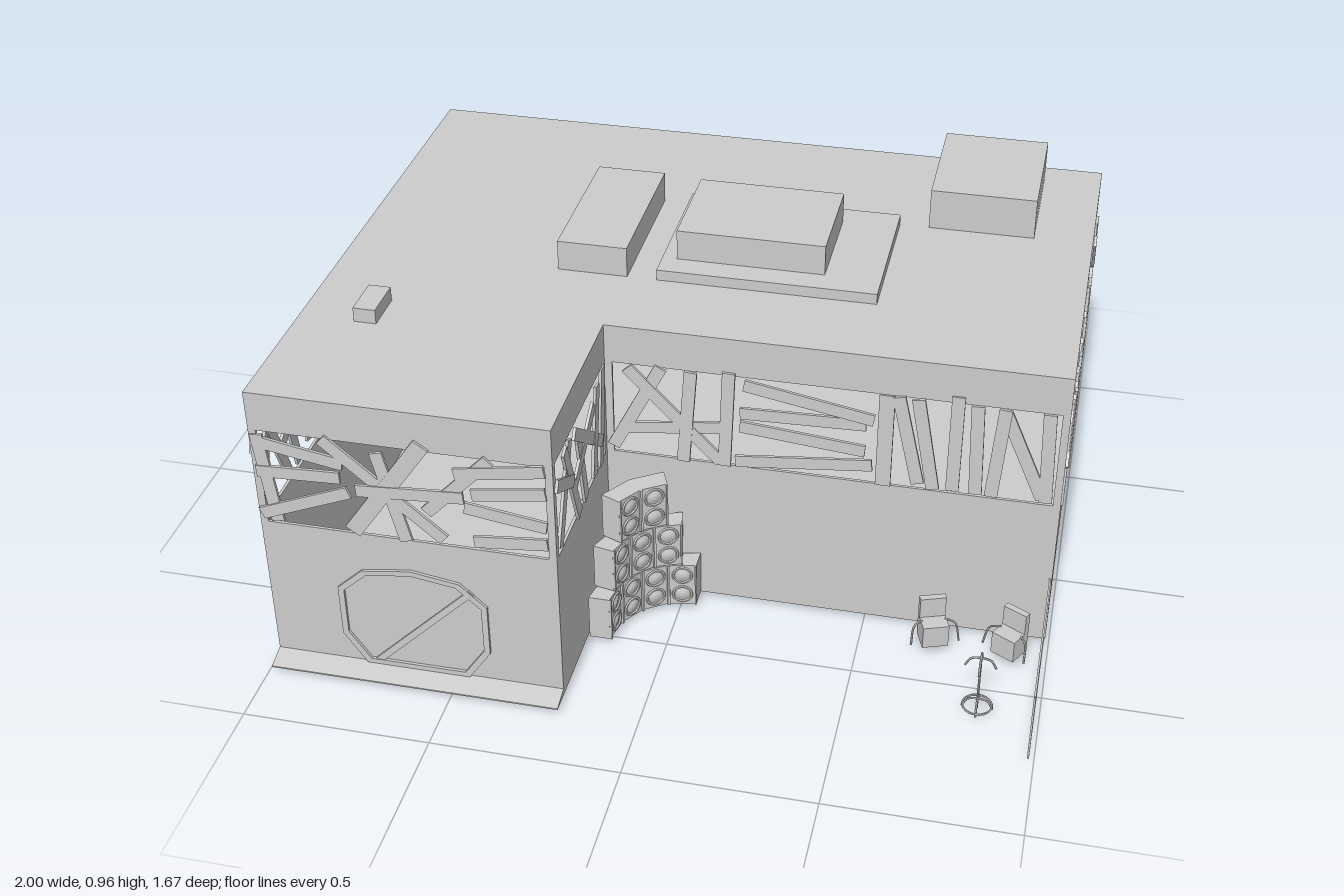
import * as THREE from 'three';

const mat = new THREE.MeshStandardMaterial({ color: 0xcccccc, flatShading: true, side: THREE.DoubleSide });
const FLOOR = 0.02, TOP = 0.85, SILL = 0.46, HEAD = 0.74, T = 0.008;

function mesh(geo, name, parent) {
  const m = new THREE.Mesh(geo, mat);
  m.name = name;
  parent.add(m);
  return m;
}

// Box given by its min and max along each axis
function block(parent, name, x0, x1, y0, y1, z0, z1) {
  const m = mesh(new THREE.BoxGeometry(x1 - x0, y1 - y0, z1 - z0), name, parent);
  m.position.set((x0 + x1) / 2, (y0 + y1) / 2, (z0 + z1) / 2);
  return m;
}

// Flat bar between two points of a local xy plane
function bar(parent, name, [x0, y0, x1, y1], width, depth, z) {
  const m = mesh(new THREE.BoxGeometry(Math.hypot(x1 - x0, y1 - y0), width, depth), name, parent);
  m.position.set((x0 + x1) / 2, (y0 + y1) / 2, z);
  m.rotation.z = Math.atan2(y1 - y0, x1 - x0);
  return m;
}

function polygon(points) {
  return new THREE.Shape(points.map(([x, y]) => new THREE.Vector2(x, y)));
}

function extrude(shape, depth) {
  return new THREE.ExtrudeGeometry(shape, { depth, bevelEnabled: false });
}

const rect = (x0, x1, y0, y1) => [[x0, y0], [x1, y0], [x1, y1], [x0, y1]];

// Wall with a long window opening, crossed by loose planks
function windowWall(parent, name, u0, u1, planks, place) {
  const g = new THREE.Group();
  g.name = name;
  const shape = polygon(rect(u0, u1, FLOOR, TOP));
  shape.holes.push(polygon(rect(u0 + 0.02, u1 - 0.02, SILL, HEAD)));
  mesh(extrude(shape, T), 'wallPanel', g).position.z = -T;
  planks.forEach((p, i) => bar(g, 'windowPlank', p, p[4] ?? 0.034, 0.008, 0.001 + 0.002 * (i % 3)));
  place(g);
  parent.add(g);
}

// Plank lines: u0, v0, u1, v1, optional width
const wingFront = [
  [-0.98, 0.71, -0.75, 0.67], [-0.98, 0.62, -0.76, 0.63], [-0.98, 0.49, -0.74, 0.59],
  [-0.8, 0.74, -0.5, 0.48], [-0.74, 0.47, -0.54, 0.76, 0.045], [-0.72, 0.6, -0.44, 0.62], [-0.66, 0.72, -0.6, 0.46],
  [-0.54, 0.56, -0.37, 0.74], [-0.46, 0.69, -0.23, 0.73], [-0.42, 0.63, -0.23, 0.66],
  [-0.44, 0.59, -0.23, 0.56], [-0.42, 0.49, -0.23, 0.51], [-0.97, 0.73, -0.94, 0.47],
];
const mainFront = [
  [-0.19, 0.48, -0.06, 0.74], [-0.15, 0.73, 0.1, 0.47], [0, 0.46, 0.02, 0.74], [-0.17, 0.54, 0.12, 0.58],
  [0.11, 0.46, 0.12, 0.75], [0.16, 0.72, 0.5, 0.66], [0.15, 0.63, 0.48, 0.64], [0.15, 0.59, 0.48, 0.56],
  [0.14, 0.48, 0.5, 0.52], [0.53, 0.46, 0.53, 0.74, 0.04], [0.56, 0.74, 0.62, 0.48], [0.66, 0.47, 0.61, 0.74],
  [0.71, 0.47, 0.71, 0.76], [0.77, 0.47, 0.76, 0.74], [0.83, 0.74, 0.81, 0.47],
  [0.83, 0.73, 0.94, 0.48], [0.95, 0.47, 0.94, 0.74],
];
const mainSide = [
  [0.21, 0.74, 0.26, 0.46], [0.26, 0.57, 0.12, 0.74], [0.14, 0.74, 0.08, 0.46], [0.25, 0.72, 0.1, 0.62],
  [0.05, 0.46, 0.06, 0.74], [-0.02, 0.74, 0.02, 0.46], [-0.05, 0.74, -0.12, 0.46], [-0.08, 0.61, -0.24, 0.73],
  [-0.19, 0.74, -0.16, 0.46], [-0.22, 0.71, -0.28, 0.46], [-0.35, 0.74, -0.32, 0.46], [-0.4, 0.74, -0.47, 0.46],
  [-0.43, 0.7, -0.63, 0.53], [-0.57, 0.45, -0.69, 0.62], [-0.63, 0.74, -0.71, 0.63], [-0.74, 0.74, -0.71, 0.46],
  [-0.76, 0.74, -0.82, 0.46],
];
const wingSide = [
  [0.74, 0.48, 0.63, 0.73], [0.68, 0.73, 0.57, 0.46], [0.76, 0.68, 0.62, 0.6], [0.5, 0.46, 0.55, 0.68],
  [0.59, 0.72, 0.34, 0.53], [0.43, 0.48, 0.38, 0.73], [0.31, 0.74, 0.35, 0.46], [0.6, 0.57, 0.41, 0.69],
];

function addBuilding(root) {
  const flipU = list => list.map(([a, b, c, d, w]) => [-a, b, -c, d, w]);
  windowWall(root, 'wingFrontWall', -0.99, -0.21, wingFront, g => { g.position.z = 0.77; });
  windowWall(root, 'mainFrontWall', -0.21, 0.99, mainFront, g => { g.position.z = 0.28; });
  windowWall(root, 'leftSideWall', -0.28, 0.84, flipU(mainSide), g => { g.position.x = 0.99; g.rotation.y = Math.PI / 2; });
  windowWall(root, 'wingInnerWall', -0.77, -0.28, flipU(wingSide), g => { g.position.x = -0.21; g.rotation.y = Math.PI / 2; });
  windowWall(root, 'rightSideWall', -0.84, 0.77, [...mainSide, ...wingSide], g => { g.position.x = -0.99; g.rotation.y = -Math.PI / 2; });
  block(root, 'backWall', -0.99, 0.99, FLOOR, TOP, -0.84, -0.84 + T);

  // L-shaped floor and roof
  const plan = polygon([[-0.99, -0.84], [0.99, -0.84], [0.99, 0.28], [-0.21, 0.28], [-0.21, 0.77], [-0.99, 0.77]]);
  [['floor', FLOOR + T], ['roof', TOP]].forEach(([name, y]) => {
    const m = mesh(extrude(plan, T), name, root);
    m.rotation.x = Math.PI / 2;
    m.position.y = y;
  });

  // Rooftop units
  block(root, 'roofUnitLarge', 0.54, 0.83, TOP, 0.965, -0.77, -0.41);
  block(root, 'roofPlinth', -0.13, 0.46, TOP, 0.88, -0.41, 0.03);
  block(root, 'roofUnitMiddle', -0.09, 0.31, 0.88, 0.965, -0.34, -0.04);
  block(root, 'roofUnitLong', -0.4, -0.21, TOP, 0.935, -0.41, 0.03);
  block(root, 'roofVent', -0.84, -0.78, TOP, 0.89, 0.28, 0.4);

  // Hatches under the floor
  block(root, 'floorHatch', -0.19, -0.02, 0.004, FLOOR, -0.14, 0.13);
  block(root, 'floorHatch', -0.96, -0.81, 0.006, FLOOR, -0.56, -0.22);

  // Sloping step along the wing front
  const ramp = mesh(extrude(polygon([[0, FLOOR], [0.06, FLOOR], [0.06, 0.024], [0, 0.04]]), 0.78), 'frontRamp', root);
  ramp.rotation.y = -Math.PI / 2;
  ramp.position.set(-0.21, 0, 0.77);
  ramp.scale.z = 1;
}

// Many-sided door frame with a diagonal brace
function addDoor(root) {
  const g = new THREE.Group();
  g.name = 'frontDoor';
  const half = [[0, 0.365], [0.13, 0.345], [0.2, 0.28], [0.2, 0.13], [0.14, 0.04]];
  const outline = [...half, ...half.slice(1).reverse().map(([x, y]) => [-x, y])];
  const frame = polygon(outline);
  frame.holes.push(polygon(outline.map(([x, y]) => [x * 0.92, 0.2 + (y - 0.2) * 0.91])));
  mesh(extrude(frame, 0.008), 'doorFrame', g);
  bar(g, 'doorBrace', [-0.11, 0.05, 0.16, 0.32], 0.018, 0.006, 0.003);
  g.position.set(-0.6, 0, 0.77);
  root.add(g);
}

// Curved stack of speaker cabinets filling the inner corner: rows of 4, 3 and 2
function addSpeakers(root) {
  const stack = new THREE.Group();
  stack.name = 'speakerStack';
  const step = Math.PI / 8, inner = 0.19, outer = 0.245, h = 0.136;
  const hi = inner * Math.tan(step / 2), ho = outer * Math.tan(step / 2);
  const cabinet = extrude(polygon([[-hi, inner], [hi, inner], [ho, outer], [-ho, outer]]), h - 0.003);
  cabinet.rotateX(-Math.PI / 2);
  [4, 3, 2].forEach((count, row) => {
    for (let i = 0; i < count; i++) {
      const g = new THREE.Group();
      g.name = 'speaker';
      mesh(cabinet, 'speakerCabinet', g);
      [0.036, 0.1].forEach(y => {
        mesh(new THREE.TorusGeometry(0.025, 0.004, 6, 20), 'speakerRim', g).position.set(0, y, -inner + 0.002);
        const cone = mesh(new THREE.CylinderGeometry(0.006, 0.024, 0.006, 16), 'speakerCone', g);
        cone.rotation.x = Math.PI / 2;
        cone.position.set(0, y, -inner + 0.002);
      });
      [-1, 1].forEach(s => block(g, 'cabinetEdge', s * hi * 0.94 - 0.002, s * hi * 0.94 + 0.002, 0, h - 0.003, -inner, -inner + 0.006));
      g.position.y = FLOOR + row * h;
      g.rotation.y = Math.PI / 4 + (i - (count - 1) / 2) * step;
      stack.add(g);
    }
  });
  stack.position.set(0.045, 0, 0.53);
  root.add(stack);
}

function tube(parent, name, points, r = 0.003) {
  const curve = new THREE.CatmullRomCurve3(points.map(p => new THREE.Vector3(...p)));
  mesh(new THREE.TubeGeometry(curve, 10, r, 6), name, parent);
}

function addYard(root) {
  // Boxy seats with thin bent arms
  [[0.695, 0.36, 0.35], [0.9, 0.365, -0.5]].forEach(([x, z, yaw]) => {
    const g = new THREE.Group();
    g.name = 'yardSeat';
    block(g, 'seatBack', -0.035, 0.035, 0.035, 0.16, -0.03, -0.012);
    block(g, 'seatBase', -0.035, 0.035, 0.035, 0.1, -0.03, 0.035);
    [-1, 1].forEach(s => tube(g, 'seatArm', [[s * 0.03, 0.1, 0], [s * 0.055, 0.095, 0.015], [s * 0.065, 0.045, 0.03]]));
    g.position.set(x, 0, z);
    g.rotation.y = yaw;
    root.add(g);
  });

  // Slim stand with drooping arms, curved feet and a foot ring
  const stand = new THREE.Group();
  stand.name = 'stand';
  const pole = mesh(new THREE.CylinderGeometry(0.003, 0.003, 0.17, 8), 'standPole', stand);
  pole.position.y = 0.105;
  for (let i = 0; i < 4; i++) {
    const c = Math.cos(i * Math.PI / 2), s = Math.sin(i * Math.PI / 2);
    const arc = y => [[0, y, 0], [0.025 * c, y - 0.006, 0.025 * s], [0.04 * c, y - 0.03, 0.04 * s]];
    tube(stand, 'standArm', arc(0.188));
    tube(stand, 'standFoot', arc(0.052));
  }
  const ring = mesh(new THREE.TorusGeometry(0.038, 0.003, 6, 24), 'footRing', stand);
  ring.rotation.x = Math.PI / 2;
  ring.position.y = 0.03;
  stand.position.set(0.84, 0, 0.59);
  root.add(stand);

  // Wire fence with a frame
  const fence = new THREE.Group();
  fence.name = 'wireFence';
  const L = 0.47, H = 0.2;
  for (let c = -H + 0.02; c < L; c += 0.02) {
    const a = Math.max(c, 0), b = Math.min(c + H, L);
    bar(fence, 'fenceWire', [a, a - c, b, b - c], 0.0018, 0.0018, 0);
    bar(fence, 'fenceWire', [a, H - a + c, b, H - b + c], 0.0018, 0.0018, 0);
  }
  [[0, 0, L, 0], [0, H, L, H], [0, 0, 0, H], [L, 0, L, H]].forEach(p => bar(fence, 'fenceRail', p, 0.005, 0.005, 0));
  fence.rotation.y = -Math.PI / 2;
  fence.position.set(0.985, FLOOR + 0.002, 0.28);
  root.add(fence);
}

export function createModel() {
  const root = new THREE.Group();
  root.name = 'building';
  addBuilding(root);
  addDoor(root);
  addSpeakers(root);
  addYard(root);
  return root;
}
